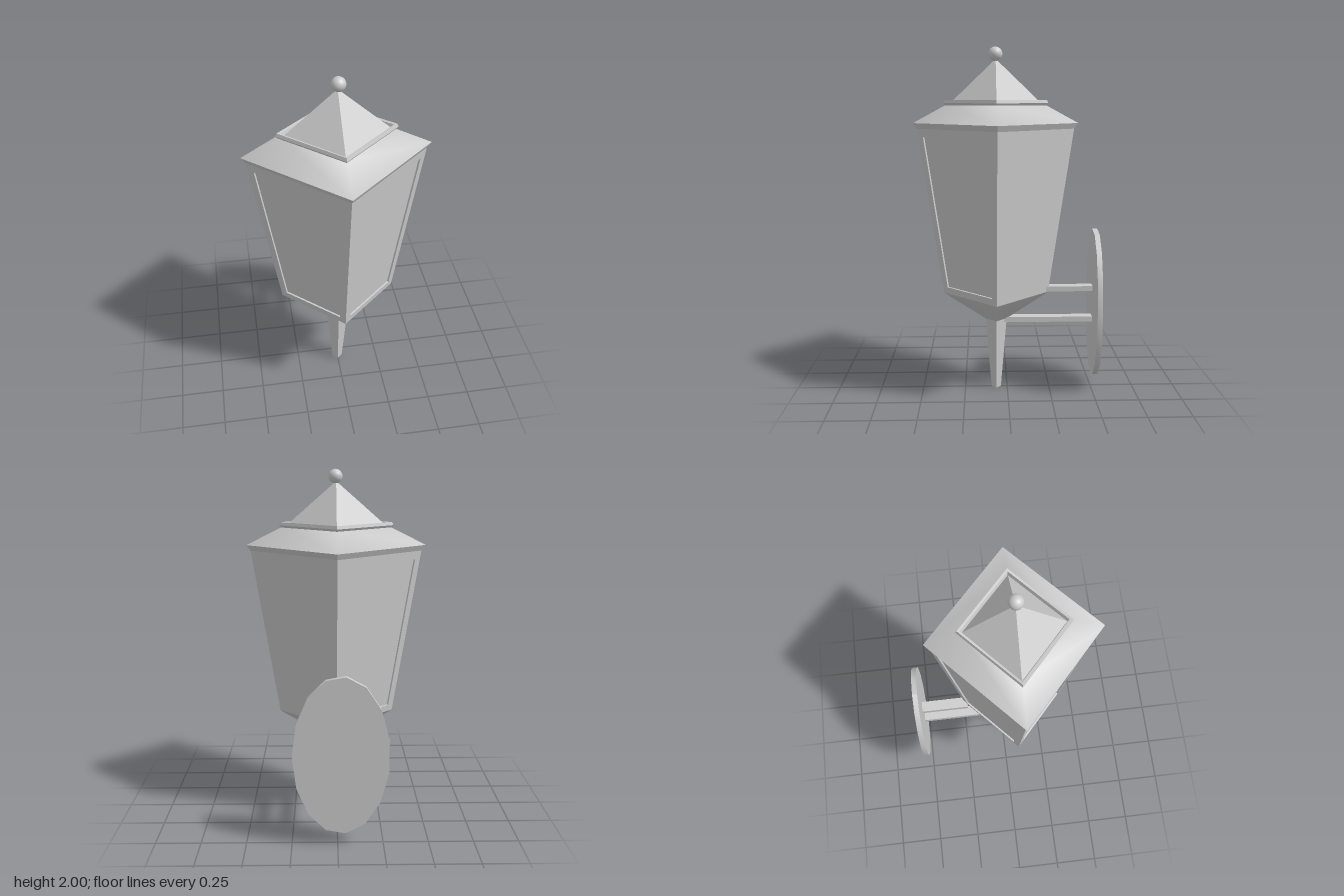
import * as THREE from 'three';
import { toCreasedNormals } from 'three/addons/utils/BufferGeometryUtils.js';

const DEPTH = 0.915; // the diamond plan is slightly shallower than wide
const AXIS_Z = 0.065; // lantern axis
const WALL = { y0: 0.58, r0: 0.335, y1: 1.54, r1: 0.492 };

export function createModel() {
  const material = new THREE.MeshStandardMaterial({ color: 0xcccccc });
  const model = new THREE.Group();
  const lantern = new THREE.Group();
  lantern.name = 'lantern';
  lantern.position.z = AXIS_Z;
  model.add(lantern);

  function add(parent, name, geometry, x = 0, y = 0, z = 0) {
    const mesh = new THREE.Mesh(geometry, material);
    mesh.name = name;
    mesh.position.set(x, y, z);
    parent.add(mesh);
    return mesh;
  }

  // Four-sided turned part, corners on the axes; profile is [radius, y] upward
  function diamond(name, profile, crease = 1) {
    const geometry = new THREE.LatheGeometry(profile.map(([r, y]) => new THREE.Vector2(r, y)), 4);
    geometry.scale(1, 1, DEPTH);
    add(lantern, name, toCreasedNormals(geometry, crease));
  }

  diamond('stem', [[0, 0], [0.03, 0], [0.068, 0.42]], 0.5);
  diamond('lowerTaper', [[0.068, 0.42], [0.325, 0.572], [WALL.r0, WALL.y0]]);
  diamond('eavesRoof', [[WALL.r1, WALL.y1], [0.517, 1.572], [0.30, 1.68]]);
  diamond('roofTrim', [[0.31, 1.668], [0.328, 1.685], [0.32, 1.703], [0.302, 1.70], [0.292, 1.676]], 0.4);
  diamond('roofCap', [[0.296, 1.674], [0, 1.932]], 0.4);
  add(lantern, 'finial', new THREE.SphereGeometry(0.04, 24, 16), 0.004, 1.96, 0.002);

  // Point on a wall: s runs across, t runs up
  function wallPoint(k, s, t) {
    const corner = (i) => {
      const a = (i * Math.PI) / 2;
      const r = THREE.MathUtils.lerp(WALL.r0, WALL.r1, t);
      return new THREE.Vector3(Math.sin(a) * r, THREE.MathUtils.lerp(WALL.y0, WALL.y1, t), Math.cos(a) * r * DEPTH);
    };
    return corner(k).lerp(corner(k + 1), s);
  }

  function quads(name, list) {
    const points = list.flatMap(([a, b, c, d]) => [a, b, c, a, c, d]);
    const geometry = new THREE.BufferGeometry().setFromPoints(points);
    geometry.computeVertexNormals();
    add(lantern, name, geometry);
  }

  // Four walls; all but the back left one carry a sunken pane
  for (let k = 0; k < 4; k++) {
    const outer = [[0, 0], [1, 0], [1, 1], [0, 1]].map(([s, t]) => wallPoint(k, s, t));
    if (k === 1) {
      quads('plainWall', [outer]);
      continue;
    }
    const rim = [[0.09, 0.04], [0.91, 0.04], [0.935, 0.95], [0.065, 0.95]].map(([s, t]) => wallPoint(k, s, t));
    const inward = outer[1].clone().sub(outer[0]).cross(outer[3].clone().sub(outer[0])).normalize().multiplyScalar(-0.01);
    const pane = rim.map((p) => p.clone().add(inward));
    const frame = [];
    for (let i = 0; i < 4; i++) {
      const j = (i + 1) % 4;
      frame.push([outer[i], outer[j], rim[j], rim[i]], [rim[i], rim[j], pane[j], pane[i]]);
    }
    quads('wallFrame', frame);
    quads('pane', [pane]);
  }

  // Oval backplate with 15 sides
  const plate = new THREE.CylinderGeometry(1, 1, 0.03, 15);
  plate.rotateY(Math.PI / 2);
  plate.rotateX(Math.PI / 2);
  plate.scale(0.263, 0.442, 1);
  add(model, 'backplate', toCreasedNormals(plate, 0.6), -0.018, 0.51, -0.52);

  // Two bracket arms, reaching through to the back of the plate
  for (const [name, y, front] of [['upperArm', 0.6, -0.22], ['lowerArm', 0.415, 0.03]]) {
    const back = -0.537;
    add(model, name, new THREE.BoxGeometry(0.064, 0.03, front - back), -0.017, y, (front + back) / 2);
  }

  return model;
}
